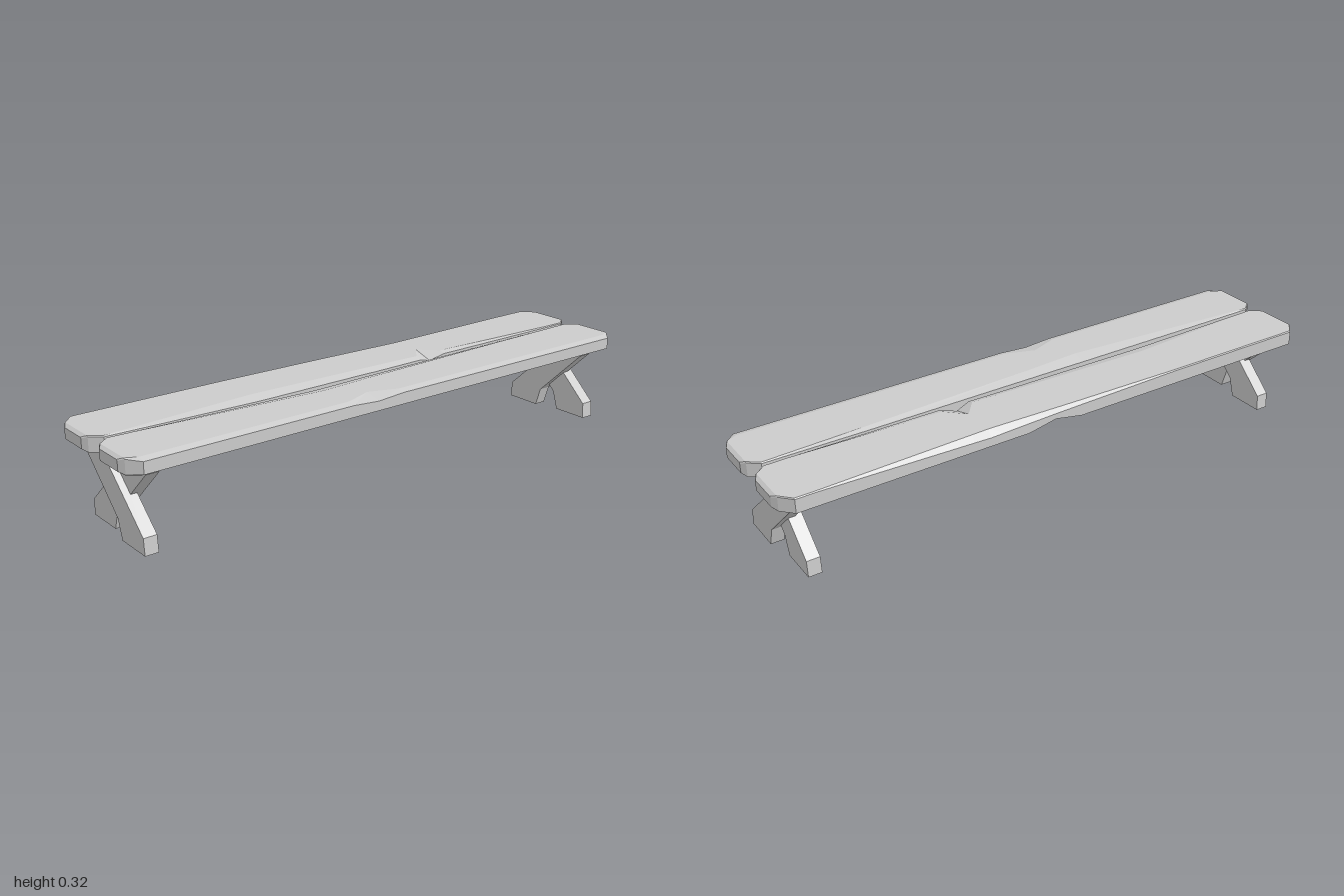
import * as THREE from 'three';

const material = new THREE.MeshStandardMaterial({ color: 0xcccccc, flatShading: true });
const Y0 = 0.265, Y1 = 0.316;

// Cross-section of a plank as [z, y]: outer side up, across the top, down the inner side.
// cut/drop are the width and depth of the worn top edges, under is the worn lower edge.
function section({ outer, inner, oCut = 0.004, oDrop = 0.003, iCut = 0.004, iDrop = 0.003, under = 0.002, y0 = Y0, y1 = Y1 }) {
  return [
    [outer - under, y0], [outer, y0 + under * 0.4], [outer, y1 - oDrop], [outer - oCut, y1],
    [inner + iCut, y1], [inner, y1 - iDrop], [inner, y0],
  ];
}

// Lofts the sections along x; side = 1 for the front plank, -1 for the back one.
function plank(name, side, middle, base) {
  const end = (s) => [
    { x: s, outer: 0.162, inner: 0.056, y0: 0.272, y1: 0.308 },
    { x: s * 0.988, outer: 0.183, inner: 0.036 },
    { x: s * 0.952, outer: 0.222, inner: 0.007, ...base },
  ];
  const stations = [...end(-1), ...middle.map((m) => ({ outer: 0.222, inner: 0.006, ...base, ...m })), ...end(1).reverse()];
  const rings = stations.map((st) => section(st).map(([z, y]) => [st.x, y, z * side]));
  const out = [];
  const tri = (a, b, c) => out.push(...a, ...(side > 0 ? b : c), ...(side > 0 ? c : b));
  const n = rings[0].length;
  for (let i = 0; i < rings.length - 1; i++) {
    for (let k = 0; k < n; k++) {
      const j = (k + 1) % n;
      const a = rings[i][k], b = rings[i + 1][k], c = rings[i + 1][j], d = rings[i][j];
      tri(a, b, c);
      tri(a, c, d);
    }
  }
  const first = rings[0], last = rings[rings.length - 1];
  for (let k = 1; k < n - 1; k++) {
    tri(first[0], first[k], first[k + 1]);
    tri(last[0], last[k + 1], last[k]);
  }
  const geometry = new THREE.BufferGeometry();
  geometry.setAttribute('position', new THREE.Float32BufferAttribute(out, 3));
  geometry.computeVertexNormals();
  const mesh = new THREE.Mesh(geometry, material);
  mesh.name = name;
  return mesh;
}

// Slanted leg outline as [z, y], foot at the front and top at the back
const LEG = [
  [0.176, 0], [0.172, 0.055], [-0.035, 0.243], [-0.042, 0.268],
  [-0.172, 0.268], [-0.167, 0.243], [0.022, 0.065], [0.043, 0],
];
const LEG_WIDTH = 0.045;

function leg(name, x, mirror) {
  const shape = new THREE.Shape(LEG.map(([z, y]) => new THREE.Vector2(z * mirror, y)));
  const geometry = new THREE.ExtrudeGeometry(shape, { depth: LEG_WIDTH, bevelEnabled: false });
  geometry.translate(0, 0, -LEG_WIDTH / 2).rotateY(-Math.PI / 2);
  const mesh = new THREE.Mesh(geometry, material);
  mesh.name = name;
  mesh.position.x = x;
  return mesh;
}

export function createModel() {
  const group = new THREE.Group();
  group.name = 'bench';

  // Front plank: worn front edge with a nick, long sloping wear along the gap
  group.add(plank('frontPlank', 1, [
    { x: -0.22, inner: 0.018, iCut: 0.047, iDrop: 0.012 },
    { x: -0.12, inner: 0.017, iCut: 0.042, iDrop: 0.011, oCut: 0.06, oDrop: 0.014 },
    { x: -0.02, inner: 0.015, iCut: 0.037, iDrop: 0.01 },
    { x: 0.6, inner: 0.008, iCut: 0.017, iDrop: 0.006 },
  ], { oCut: 0.024, oDrop: 0.007, under: 0.012 }));

  // Back plank: shallow cut on the back edge, wear and a chip along the gap, a nick below
  group.add(plank('backPlank', -1, [
    { x: -0.42, iCut: 0.042, iDrop: 0.012 },
    { x: -0.04, iCut: 0.032, iDrop: 0.01, oCut: 0.012, oDrop: 0.01 },
    { x: 0.06, iCut: 0.029, iDrop: 0.01, oCut: 0.015, oDrop: 0.012, under: 0.05 },
    { x: 0.16, iCut: 0.026, iDrop: 0.009, oCut: 0.018, oDrop: 0.015 },
    { x: 0.25, iCut: 0.022, iDrop: 0.008, oCut: 0.021, oDrop: 0.018 },
    { x: 0.3, inner: 0.016, iCut: 0.072, iDrop: 0.022, oCut: 0.022, oDrop: 0.02 },
    { x: 0.36, iCut: 0.022, iDrop: 0.006, oCut: 0.02, oDrop: 0.018 },
    { x: 0.88 },
  ], {}));

  // Crossed legs at both ends, half-lapped into each other
  for (const [side, label] of [[1, 'left'], [-1, 'right']]) {
    group.add(leg(label + 'OuterLeg', side * 0.919, 1));
    group.add(leg(label + 'InnerLeg', side * 0.896, -1));
  }
  return group;
}
